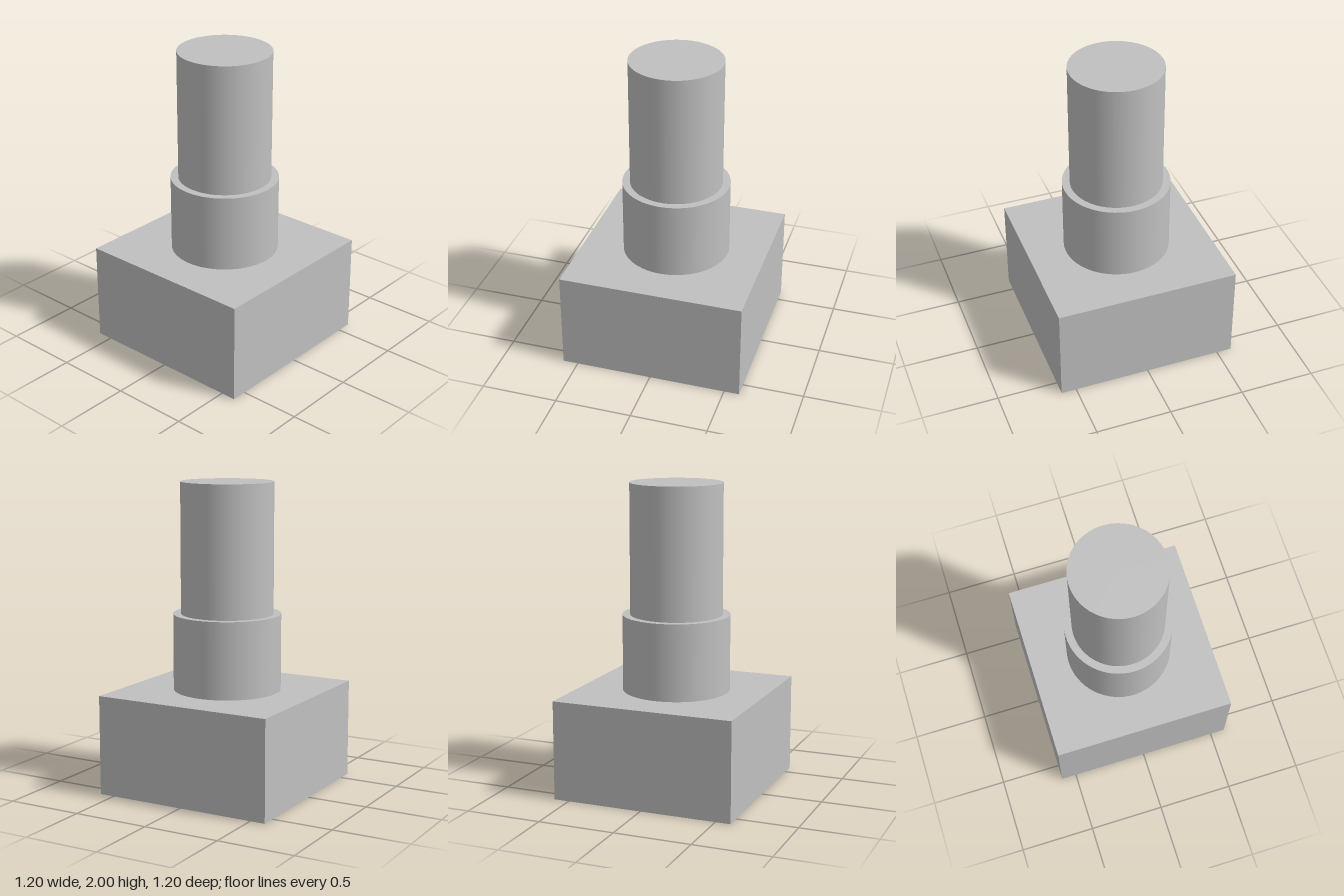
import * as THREE from 'three';

export function createModel() {
  const model = new THREE.Group();
  const grey = new THREE.MeshStandardMaterial({ color: 0xc0c0c0 });
  grey.name = 'light grey';

  // Places a part with its underside at the given height
  function addPart(name, geometry, bottom, height) {
    const mesh = new THREE.Mesh(geometry, grey);
    mesh.name = name;
    mesh.position.y = bottom + height / 2;
    model.add(mesh);
  }

  // Square block, collar and round shaft stacked on one axis
  addPart('baseBlock', new THREE.BoxGeometry(1.2, 0.65, 1.2), 0, 0.65);
  addPart('collar', new THREE.CylinderGeometry(0.35, 0.35, 0.5, 64), 0.65, 0.5);
  addPart('shaft', new THREE.CylinderGeometry(0.3, 0.3, 0.85, 64), 1.15, 0.85);

  return model;
}
